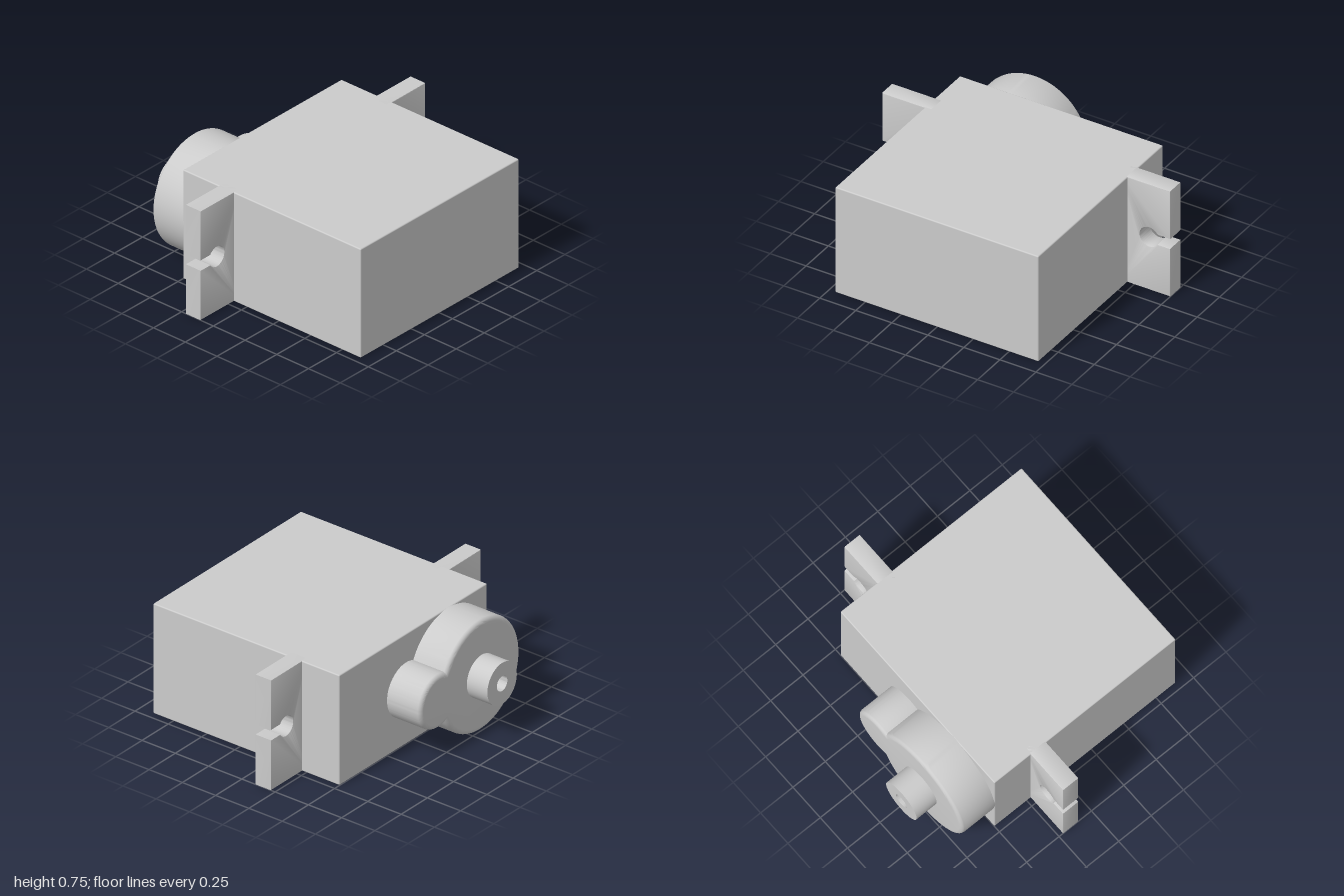
import * as THREE from 'three';
import { toCreasedNormals } from 'three/addons/utils/BufferGeometryUtils.js';
import { RoundedBoxGeometry } from 'three/addons/geometries/RoundedBoxGeometry.js';

const H = 0.745; // case height
const MID = H / 2;
const SHAFT_X = -0.333;

export function createModel() {
  const model = new THREE.Group();
  const material = new THREE.MeshStandardMaterial({ color: 0xcccccc });

  function add(name, geometry, x, y, z) {
    const mesh = new THREE.Mesh(geometry, material);
    mesh.name = name;
    mesh.position.set(x, y, z);
    model.add(mesh);
    return mesh;
  }

  // Extrude between z = 0 and z = depth, bevelled inside the outline
  function bevelled(shape, depth, bevel, segments) {
    const geometry = new THREE.ExtrudeGeometry(shape, {
      depth: depth - 2 * bevel, curveSegments: 40, bevelThickness: bevel,
      bevelSize: bevel, bevelOffset: -bevel, bevelSegments: segments,
    });
    geometry.translate(0, 0, bevel);
    return toCreasedNormals(geometry, 0.6);
  }

  // Main case
  add('case', new RoundedBoxGeometry(1.41, H, 1.4, 2, 0.008), 0, MID, 0.2);

  // Mounting ears, each with a round screw hole open to the outer edge
  const holeX = 0.855, holeR = 0.066, slot = 0.034;
  const a = Math.asin(slot / holeR);
  for (const side of [1, -1]) {
    const ear = new THREE.Shape();
    ear.moveTo(0.66, -MID);
    ear.lineTo(1, -MID);
    ear.lineTo(1, -slot);
    ear.lineTo(holeX + holeR * Math.cos(a), -slot);
    ear.absarc(holeX, 0, holeR, -a, a, true);
    ear.lineTo(1, slot);
    ear.lineTo(1, MID);
    ear.lineTo(0.66, MID);
    ear.closePath();
    const mesh = add(side > 0 ? 'leftEar' : 'rightEar', bevelled(ear, 0.12, 0.006, 2), 0, MID, -0.1);
    // A half turn about y keeps the face winding intact
    mesh.rotation.y = side > 0 ? 0 : Math.PI;
    mesh.position.z = side > 0 ? -0.22 : -0.1;
  }

  // Gear housing: large and small round lobes merged into one outline
  const R = 0.372, r = 0.18, smallX = 0.07, d = smallX - SHAFT_X;
  const reach = (d * d + R * R - r * r) / (2 * d);
  const half = Math.sqrt(R * R - reach * reach);
  const big = Math.atan2(half, reach);
  const small = Math.atan2(half, reach - d);
  const lobes = new THREE.Shape();
  lobes.absarc(SHAFT_X, 0, R, big, 2 * Math.PI - big, false);
  lobes.absarc(smallX, 0, r, -small, small, false);
  add('gearHousing', bevelled(lobes, 0.3, 0.03, 5), 0, MID, -0.75);

  // Output shaft with a screw hole
  const ring = new THREE.Shape();
  ring.absarc(0, 0, 0.14, 0, 2 * Math.PI, false);
  const bore = new THREE.Path();
  bore.absarc(0, 0, 0.05, 0, 2 * Math.PI, true);
  ring.holes.push(bore);
  const shaft = new THREE.ExtrudeGeometry(ring, { depth: 0.17, bevelEnabled: false, curveSegments: 32 });
  add('outputShaft', toCreasedNormals(shaft, 0.6), SHAFT_X, MID, -0.905);

  return model;
}
